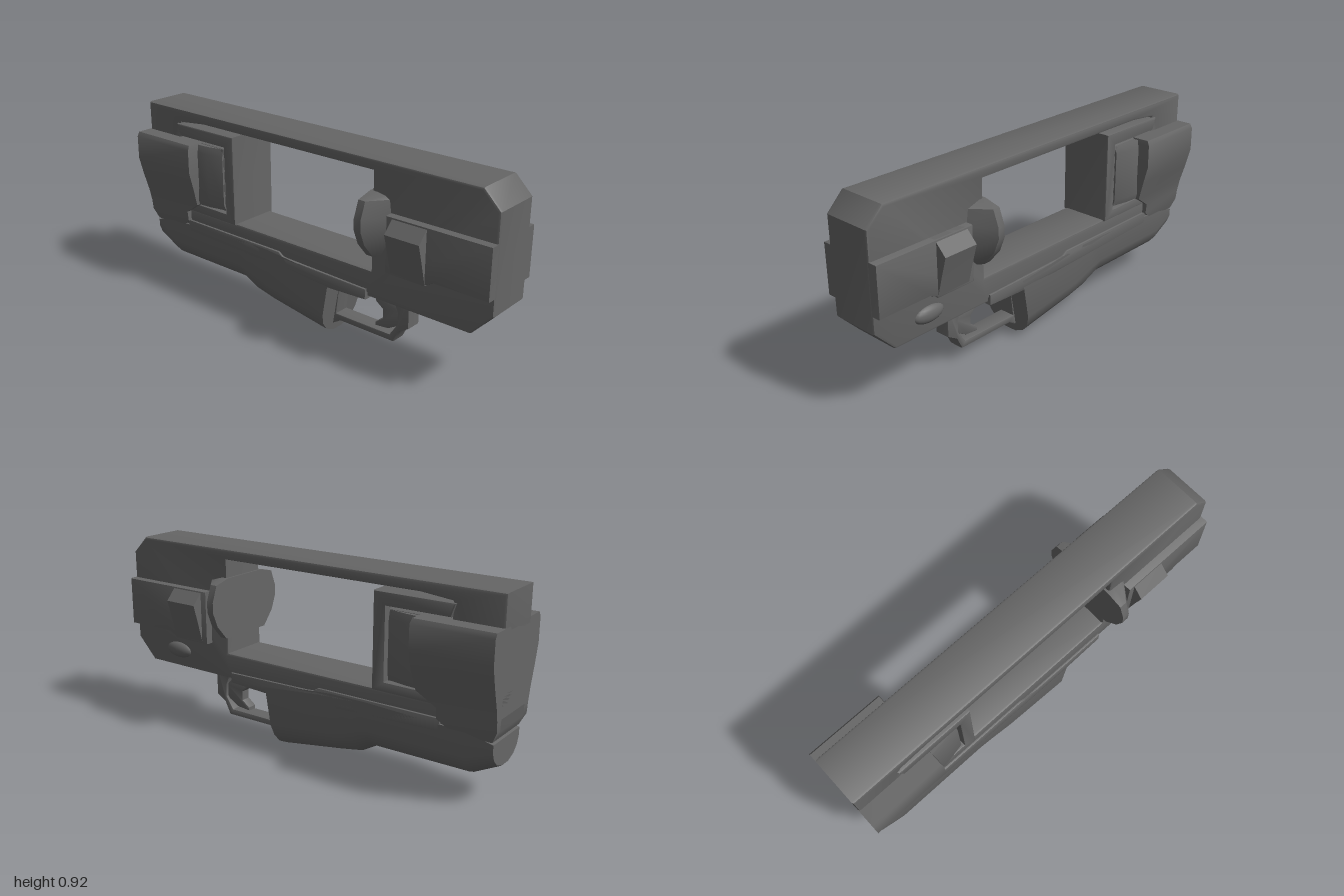
import * as THREE from 'three';
import { toCreasedNormals } from 'three/addons/utils/BufferGeometryUtils.js';

const metal = new THREE.MeshStandardMaterial({ color: 0x666666 });
metal.name = 'dark grey metal';

const toPoints = (list) => list.map(([a, b]) => new THREE.Vector2(a, b));

// Side outline of [z, y] points, extruded across x and centred
function sidePlate(outline, width, bevel = 0, hole = null) {
  const shape = new THREE.Shape(toPoints(outline));
  if (hole) shape.holes.push(new THREE.Path(toPoints(hole)));
  const depth = width - 2 * bevel;
  const geo = new THREE.ExtrudeGeometry(shape, {
    depth, bevelEnabled: bevel > 0, bevelThickness: bevel, bevelSize: bevel,
    bevelOffset: -bevel, bevelSegments: 2,
  });
  geo.translate(0, 0, -depth / 2);
  geo.rotateY(-Math.PI / 2);
  return toCreasedNormals(geo, 0.6);
}

// Mirrors a half section of [x, y, z] points into a closed ring
function mirrorRing(half) {
  return [...half, ...half.slice().reverse().map(([x, y, z]) => [-x, y, z])];
}

// Skin through rings with equal point counts, closed at both ends
function loft(rings) {
  const n = rings[0].length;
  const pos = rings.flat();
  let faces = [];
  for (let r = 0; r < rings.length - 1; r++) {
    for (let i = 0; i < n; i++) {
      const j = (i + 1) % n, a = r * n, b = a + n;
      faces.push([a + i, a + j, b + j], [a + i, b + j, b + i]);
    }
  }
  const last = (rings.length - 1) * n;
  for (let i = 1; i < n - 1; i++) {
    faces.push([0, i + 1, i], [last, last + i, last + i + 1]);
  }
  // Turn every face outwards if the enclosed volume is negative
  const v = pos.map((p) => new THREE.Vector3(...p));
  const volume = faces.reduce((s, [a, b, c]) => s + v[a].dot(v[b].clone().cross(v[c])), 0);
  if (volume < 0) faces = faces.map(([a, b, c]) => [a, c, b]);
  const geo = new THREE.BufferGeometry();
  geo.setAttribute('position', new THREE.Float32BufferAttribute(pos.flat(), 3));
  geo.setIndex(faces.flat());
  return toCreasedNormals(geo, 0.6);
}

export function createModel() {
  const group = new THREE.Group();
  const add = (name, geo) => {
    const mesh = new THREE.Mesh(geo, metal);
    mesh.name = name;
    group.add(mesh);
    return mesh;
  };

  // Main frame with its large window
  add('mainFrame', sidePlate(
    [[1, 0.4], [1, 0.84], [0.92, 0.92], [-1, 0.92], [-1, 0.36], [-0.98, 0.32],
      [-0.75, 0.31], [0.38, 0.31], [0.38, 0.295], [0.9, 0.295]],
    0.24, 0.012,
    [[0.4, 0.42], [0.4, 0.87], [-0.62, 0.87], [-0.77, 0.855], [-0.77, 0.78],
      [-0.48, 0.78], [-0.48, 0.465], [-0.73, 0.465], [-0.73, 0.42]]));

  // C-shaped bracket around the rear block
  add('rearBracket', sidePlate(
    [[-0.41, 0.415], [-0.41, 0.85], [-0.79, 0.85], [-0.77, 0.79], [-0.47, 0.79],
      [-0.47, 0.46], [-0.75, 0.46], [-0.75, 0.415]], 0.26, 0.008));

  // Widening cheeks between bracket and rear pod
  add('rearCheek', loft([[-0.485, 0.125], [-0.57, 0.143], [-0.65, 0.15]].map(([z, w]) =>
    mirrorRing([[w - 0.01, 0.775, z], [w, 0.74, z], [w, 0.5, z], [w - 0.01, 0.47, z]]))));

  // Rear pod, stacked from bottom to top: y, half width, front z, back z
  add('rearPod', loft([
    [0.31, 0.125, -0.8, -0.975], [0.36, 0.14, -0.73, -0.999], [0.41, 0.145, -0.73, -1],
    [0.47, 0.158, -0.64, -1], [0.56, 0.185, -0.63, -1], [0.65, 0.208, -0.63, -1],
    [0.76, 0.207, -0.63, -1], [0.782, 0.195, -0.635, -1],
  ].map(([y, w, f, b]) => [[w, y, f], [w, y, b], [-w, y, b], [-w, y, f]])));

  // Front side panels, bulges and window flange
  add('frontPanel', sidePlate(
    [[0.998, 0.48], [0.998, 0.71], [0.5, 0.71], [0.5, 0.455], [0.69, 0.455], [0.74, 0.48]],
    0.315, 0.006));
  add('frontBulge', loft([0.53, 0.7].map((z) => mirrorRing(
    [[0.15, 0.71, z], [0.208, 0.65, z], [0.185, 0.57, z], [0.155, 0.456, z]]))));
  const flange = [[0.12, 0.785], [0.2, 0.765], [0.228, 0.69], [0.228, 0.64], [0.2, 0.57], [0.14, 0.5]];
  add('windowFlange', loft([[0.39, 1], [0.425, 1], [0.5, 0.53]].map(([z, s]) =>
    mirrorRing(flange.map(([x, y]) => [x * s, y, z])))));

  // Small oval button on the left side
  const button = add('sideButton', new THREE.SphereGeometry(1, 20, 12));
  button.scale.set(0.03, 0.04, 0.08);
  button.position.set(0.113, 0.38, 0.72);

  // Rail joining frame and fore grip
  add('lowerRail', sidePlate(
    [[0.38, 0.28], [0.38, 0.33], [-0.1, 0.34], [-0.13, 0.36], [-0.74, 0.36],
      [-0.74, 0.3], [0.17, 0.27]], 0.26, 0.006));

  // Fore grip: z, top, shoulder and bottom heights, half width, slant of z with y
  add('foreGrip', loft([
    [0.12, 0.32, 0.12, 0.005, 0.13, 0.17], [-0.2, 0.35, 0.165, 0.055, 0.13, 0],
    [-0.31, 0.35, 0.2, 0.075, 0.13, 0], [-0.39, 0.35, 0.22, 0.12, 0.13, 0],
    [-0.86, 0.33, 0.22, 0.12, 0.13, 0], [-0.98, 0.3, 0.265, 0.18, 0.122, 0],
  ].map(([z, top, mid, low, w, slant]) => mirrorRing(
    [[1, top], [1, mid], [0.88, low + (mid - low) * 0.56],
      [0.64, low + (mid - low) * 0.22], [0.25, low]]
      .map(([s, y]) => [s * w, y, z + slant * y])))));

  // Trigger guard and trigger
  add('triggerGuard', sidePlate(
    [[0.55, 0.3], [0.55, 0.16], [0.5, 0.13], [0.47, 0.07], [0.17, 0.07], [0.12, 0.04], [0.15, 0.3]],
    0.08, 0.006,
    [[0.47, 0.265], [0.19, 0.265], [0.165, 0.25], [0.145, 0.1], [0.45, 0.1], [0.49, 0.16], [0.49, 0.22]]));
  add('trigger', sidePlate(
    [[0.5, 0.22], [0.46, 0.255], [0.36, 0.25], [0.36, 0.23], [0.4, 0.2], [0.4, 0.155],
      [0.36, 0.125], [0.36, 0.108], [0.43, 0.115], [0.5, 0.155]], 0.05, 0.005));

  return group;
}
